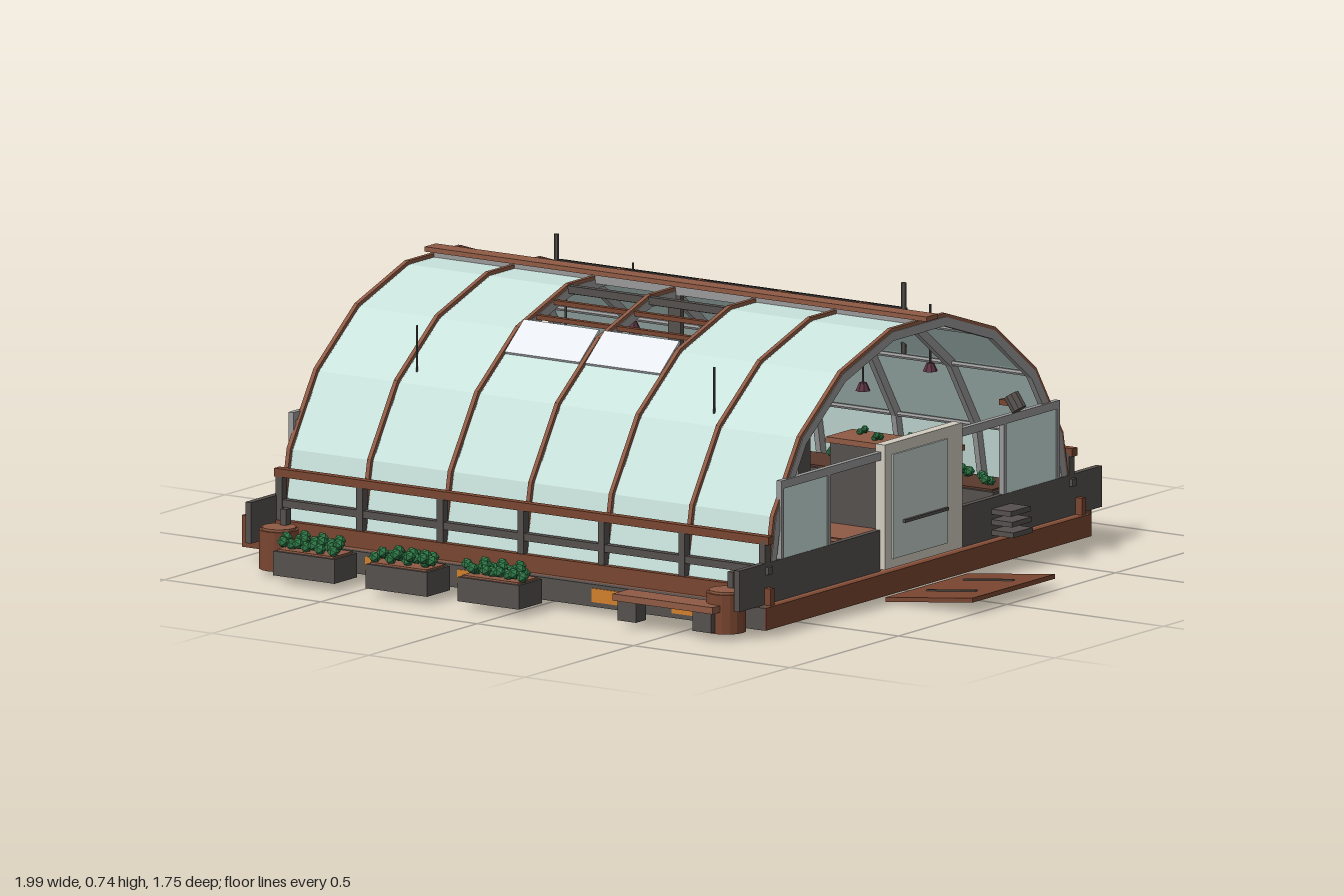
import * as THREE from 'three';

const CZ = -0.03; // middle of the building along z
const RIBS = Array.from({ length: 7 }, (_, i) => -0.855 + i * 0.2575);
const mats = {};
const mat = (c) => (mats[c] ??= new THREE.MeshStandardMaterial({ color: c, flatShading: true, side: THREE.DoubleSide }));
const C = { wood: 0x8f5b45, brown: 0x7a4630, dark: 0x55504d, black: 0x2e2c2b, steel: 0x9a9a9a,
  glass: 0xc9e2dc, white: 0xe6eaee, cream: 0xd2ccc0, orange: 0xd07f2c, leaf: 0x2f7a48, soil: 0x5a3a2c };

// Point on the nine-sided arch, k = 0..9 from front foot to back foot
const arch = (k, off = 0) => {
  const a = (k * 20 * Math.PI) / 180;
  return { z: CZ + Math.cos(a) * (0.7 + off), y: 0.09 + Math.sin(a) * (0.63 + off) };
};

export function createModel() {
  const root = new THREE.Group();
  let parent = root;
  const part = (name, fn) => {
    const g = new THREE.Group();
    g.name = name;
    root.add(g);
    parent = g;
    fn(g);
    parent = root;
  };
  const add = (name, geo, color, x, y, z) => {
    const m = new THREE.Mesh(geo, mat(color));
    m.name = name;
    m.position.set(x, y, z);
    parent.add(m);
    return m;
  };
  // Box given by its limits
  const box = (name, color, x0, x1, y0, y1, z0, z1) =>
    add(name, new THREE.BoxGeometry(x1 - x0, y1 - y0, z1 - z0), color, (x0 + x1) / 2, (y0 + y1) / 2, (z0 + z1) / 2);
  const cyl = (name, color, r, h, x, y, z, n = 10) =>
    add(name, new THREE.CylinderGeometry(r, r, h, n), color, x, y, z);
  const plant = (x, y, z, s = 0.018) => {
    for (let i = 0; i < 3; i++) {
      const a = i * 2.1 + x * 9;
      add('leaf', new THREE.IcosahedronGeometry(s * 0.75, 0), C.leaf,
        x + Math.cos(a) * s * 0.6, y + s * (0.5 + 0.35 * i), z + Math.sin(a) * s * 0.6);
    }
  };

  part('platform', () => {
    box('slab', C.black, -0.88, 0.72, 0.02, 0.035, -0.775, 0.715);
    box('deck', C.wood, -0.87, 0.71, 0.035, 0.08, -0.765, 0.705);
    for (const z of [-0.77, 0.71]) box('edgeBeam', C.dark, -0.885, 0.725, 0.02, 0.08, z - 0.012, z + 0.012);
    for (const x of [-0.877, 0.717]) box('endBeam', C.brown, x - 0.012, x + 0.012, 0.02, 0.08, -0.78, 0.72);
    for (const [a, b] of [[-0.55, -0.46], [-0.255, -0.2], [0.175, 0.3], [0.43, 0.56]])
      box('edgePanel', C.orange, a, b, 0.033, 0.07, 0.715, 0.725);
    for (let i = 0; i < 6; i++) box('deckBoard', C.brown, -0.85, 0.69, 0.08, 0.083, -0.13 + i * 0.04, -0.126 + i * 0.04);
  });

  part('crossedBoards', () => {
    for (const z of [0.677, -0.757]) box('sideBoard', C.brown, -0.97, 0.72, 0.04, 0.125, z - 0.009, z + 0.009);
    box('leftEndBoard', C.dark, -0.88, -0.862, 0.08, 0.19, -0.87, 0.8);
    box('rightEndBoardFront', C.dark, 0.682, 0.7, 0.08, 0.19, 0.15, 0.8);
    box('rightEndBoardBack', C.dark, 0.682, 0.7, 0.08, 0.19, -0.87, -0.205);
  });

  part('cornerBarrels', () => {
    for (const x of [-0.8, 0.63]) for (const z of [-0.83, 0.76]) {
      cyl('barrel', C.brown, 0.053, 0.105, x, 0.068, z, 16);
      cyl('barrelTop', C.wood, 0.046, 0.01, x, 0.122, z, 16);
      box('post', C.dark, x - 0.009, x + 0.009, 0.1, 0.17, z - 0.03 * Math.sign(z) - 0.012, z - 0.03 * Math.sign(z) + 0.012);
    }
  });

  // Bar along one arch facet
  const facetBar = (name, color, x, k, off, w, t) => {
    const a = arch(k, off), b = arch(k + 1, off);
    const m = add(name, new THREE.BoxGeometry(w, t, Math.hypot(b.z - a.z, b.y - a.y) + t * 0.35), color,
      x, (a.y + b.y) / 2, (a.z + b.z) / 2);
    m.rotation.x = Math.atan2(b.y - a.y, a.z - b.z);
  };
  part('archRibs', () => {
    RIBS.forEach((x) => {
      for (let k = 0; k < 9; k++) {
        facetBar('rib', C.steel, x, k, -0.012, 0.016, 0.024);
        facetBar('ribCap', C.wood, x, k, 0.005, 0.012, 0.01);
      }
    });
  });

  part('purlins', () => {
    for (let k = 1; k < 9; k++) {
      const p = arch(k, -0.012);
      cyl('purlin', C.steel, 0.007, 1.56, -0.083, p.y, p.z, 6).rotation.z = Math.PI / 2;
    }
    box('ridgeBoard', C.wood, -0.865, 0.74, 0.727, 0.74, CZ - 0.026, CZ + 0.026);
    box('ridgeRib', C.steel, -0.85, 0.69, 0.7, 0.727, CZ - 0.006, CZ + 0.006);
  });

  // Panes bay by bay, with an opening in the two middle bays
  part('glazing', () => {
    for (let i = 0; i < 6; i++) for (let k = 0; k < 9; k++) {
      if ((i === 2 || i === 3) && (k === 3 || k === 4)) continue;
      const a = arch(k), b = arch(k + 1), x0 = RIBS[i], x1 = RIBS[i + 1];
      const g = new THREE.BufferGeometry();
      g.setAttribute('position', new THREE.Float32BufferAttribute(
        [x0, a.y, a.z, x1, a.y, a.z, x1, b.y, b.z, x0, b.y, b.z], 3));
      g.setIndex([0, 1, 2, 0, 2, 3]);
      g.computeVertexNormals();
      add('pane', g, C.glass, 0, 0, 0);
    }
  });

  part('roofVents', () => {
    for (const s of [1, -1]) for (const i of [2, 3]) {
      const v = add('ventFlap', new THREE.BoxGeometry(0.24, 0.008, 0.115), C.white,
        RIBS[i] + 0.129, 0.622, s > 0 ? 0.35 : -0.412);
      v.rotation.x = s * 0.68;
    }
    for (const k of [3, 4, 5]) {
      const p = arch(k);
      box('openingFrame', C.dark, RIBS[2], RIBS[4], p.y - 0.015, p.y + 0.005, p.z - 0.01, p.z + 0.01);
    }
    for (const t of [0.35, 0.7]) {
      const a = arch(3), b = arch(4), y = a.y + (b.y - a.y) * t, z = a.z + (b.z - a.z) * t;
      box('slat', C.brown, RIBS[2], RIBS[4], y - 0.012, y, z - 0.008, z + 0.008);
    }
  });

  part('sideRails', () => {
    for (const s of [1, -1]) {
      const z = CZ + s * 0.7;
      box('upperRail', C.brown, -0.87, 0.71, 0.24, 0.262, z - 0.012, z + 0.012);
      box('lowerRail', C.dark, -0.87, 0.71, 0.16, 0.18, z - 0.01, z + 0.01);
      RIBS.forEach((x) => box('railPost', C.dark, x - 0.01, x + 0.01, 0.08, 0.25, z - 0.012, z + 0.012));
    }
  });

  part('endWalls', () => {
    for (const x of [-0.865, 0.695]) {
      box('frontPane', C.glass, x - 0.004, x + 0.004, 0.19, 0.38, 0.39, 0.605);
      box('backPane', C.glass, x - 0.004, x + 0.004, 0.19, 0.38, -0.66, -0.42);
      box('topRail', C.steel, x - 0.008, x + 0.008, 0.378, 0.4, -0.665, 0.605);
      for (const z of [0.605, 0.39, -0.42, -0.665]) box('stud', C.steel, x - 0.008, x + 0.008, 0.19, 0.4, z - 0.006, z + 0.006);
    }
  });

  part('door', () => {
    box('doorFrame', C.cream, 0.685, 0.715, 0.085, 0.42, -0.205, 0.152);
    box('doorPane', 0xc3cfcb, 0.713, 0.72, 0.11, 0.39, -0.13, 0.12);
    box('doorBar', C.dark, 0.718, 0.728, 0.2, 0.208, -0.125, 0.075);
  });

  part('ramp', () => {
    add('rampPlate', new THREE.BoxGeometry(0.28, 0.012, 0.38), C.brown, 0.858, 0.022, -0.035).rotation.z = 0.11;
    for (const z of [-0.12, 0.05]) add('rampCleat', new THREE.BoxGeometry(0.16, 0.006, 0.008), C.dark, 0.858, 0.029, z).rotation.z = 0.11;
  });

  part('slatRack', () => {
    for (let i = 0; i < 3; i++) box('rackSlat', C.dark, 0.7, 0.77 - i * 0.004, 0.09 + i * 0.028, 0.104 + i * 0.028, -0.45, -0.36);
  });

  part('wallLamp', () => {
    cyl('lampBody', C.dark, 0.022, 0.045, 0.735, 0.44, -0.42).rotation.z = 0.6;
    box('lampArm', C.brown, 0.69, 0.73, 0.43, 0.445, -0.43, -0.41);
  });

  // Ventilation cabinet on the left end
  part('fanCabinet', () => {
    const s = new THREE.Shape([[-0.98, 0.11], [-0.87, 0.11], [-0.87, 0.36], [-0.92, 0.335], [-0.98, 0.325]].map((p) => new THREE.Vector2(...p)));
    add('cabinet', new THREE.ExtrudeGeometry(s, { depth: 0.41, bevelEnabled: false }), C.cream, 0, 0, -0.53);
    box('cabinetBase', C.brown, -0.97, -0.87, 0.045, 0.11, -0.52, -0.13);
    box('cabinetLid', C.wood, -0.983, -0.865, 0.327, 0.338, -0.533, -0.117);
    add('fanRing', new THREE.TorusGeometry(0.053, 0.009, 6, 20), C.black, -0.985, 0.205, -0.46).rotation.y = Math.PI / 2;
    cyl('fanHub', C.black, 0.016, 0.02, -0.987, 0.205, -0.46).rotation.z = Math.PI / 2;
    for (let i = 0; i < 4; i++) add('fanBlade', new THREE.BoxGeometry(0.006, 0.1, 0.016), C.dark, -0.985, 0.205, -0.46).rotation.x = i * Math.PI / 4;
    for (let i = 0; i < 4; i++) box('louvre', C.dark, -0.985, -0.978, 0.16 + i * 0.03, 0.166 + i * 0.03, -0.36, -0.16);
    cyl('duct', C.brown, 0.027, 0.08, -0.94, 0.33, -0.07, 12).rotation.z = Math.PI / 2 - 0.6;
  });

  part('frontPlanters', () => {
    for (const x of [-0.648, -0.352, -0.058]) {
      box('planterBox', C.dark, x - 0.098, x + 0.098, 0.02, 0.085, 0.76, 0.865);
      box('planterSoil', C.wood, x - 0.09, x + 0.09, 0.085, 0.09, 0.768, 0.857);
      for (let i = 0; i < 7; i++) plant(x - 0.075 + i * 0.025, 0.09, i % 2 ? 0.79 : 0.833, 0.022);
    }
  });

  part('bench', () => {
    box('benchSeat', C.wood, 0.325, 0.645, 0.075, 0.093, 0.77, 0.845);
    for (const x of [0.36, 0.6]) box('benchLeg', C.dark, x - 0.03, x + 0.03, 0.02, 0.075, 0.785, 0.83);
  });

  // Shade roll carried above the back slope
  part('shadeRail', () => {
    box('rail', C.brown, -0.815, 0.32, 0.585, 0.62, -0.53, -0.505);
    box('railBack', C.black, -0.8, 0.31, 0.575, 0.625, -0.536, -0.53);
    for (const x of [-0.8, 0.31]) cyl('railPost', C.dark, 0.007, 0.19, x, 0.6, -0.518, 6);
  });

  part('hangingLamps', () => {
    for (const x of [-0.56, 0.39]) for (const z of [0.47, 0.16, -0.215, -0.525]) {
      cyl('lampCord', C.dark, 0.003, 0.16, x, 0.565, z, 6);
      add('lampShade', new THREE.CylinderGeometry(0.01, 0.02, 0.022, 8), 0x5a3440, x, 0.477, z);
    }
    box('ridgeMotor', C.dark, -0.1, -0.06, 0.55, 0.7, CZ - 0.01, CZ + 0.006);
  });

  // Growing tables and low beds along the aisle
  part('growingTables', () => {
    for (const z of [0.28, -0.35]) {
      for (const x of [-0.5, -0.08, 0.4]) {
        box('tableBody', z > 0 ? C.cream : C.dark, x - 0.17, x + 0.17, 0.08, 0.295, z - 0.055, z + 0.055);
        box('tableTop', C.wood, x - 0.18, x + 0.18, 0.295, 0.31, z - 0.062, z + 0.062);
        for (let i = 0; i < 4; i++) plant(x - 0.12 + i * 0.08, 0.308, z + (i % 2 ? 0.025 : -0.025), 0.014);
      }
      const zb = z > 0 ? 0.5 : -0.52;
      box('bed', C.dark, -0.82, 0.65, 0.08, 0.185, zb - 0.08, zb + 0.08);
      box('bedSoil', C.soil, -0.81, 0.64, 0.185, 0.19, zb - 0.07, zb + 0.07);
      for (let i = 0; i < 14; i++) plant(-0.76 + i * 0.104, 0.19, zb + (i % 2 ? 0.03 : -0.03), 0.02);
    }
    for (const z of [0.185, -0.24]) box('aislePanel', C.cream, -0.3, 0.15, 0.08, 0.29, z - 0.025, z + 0.025);
  });

  return root;
}
